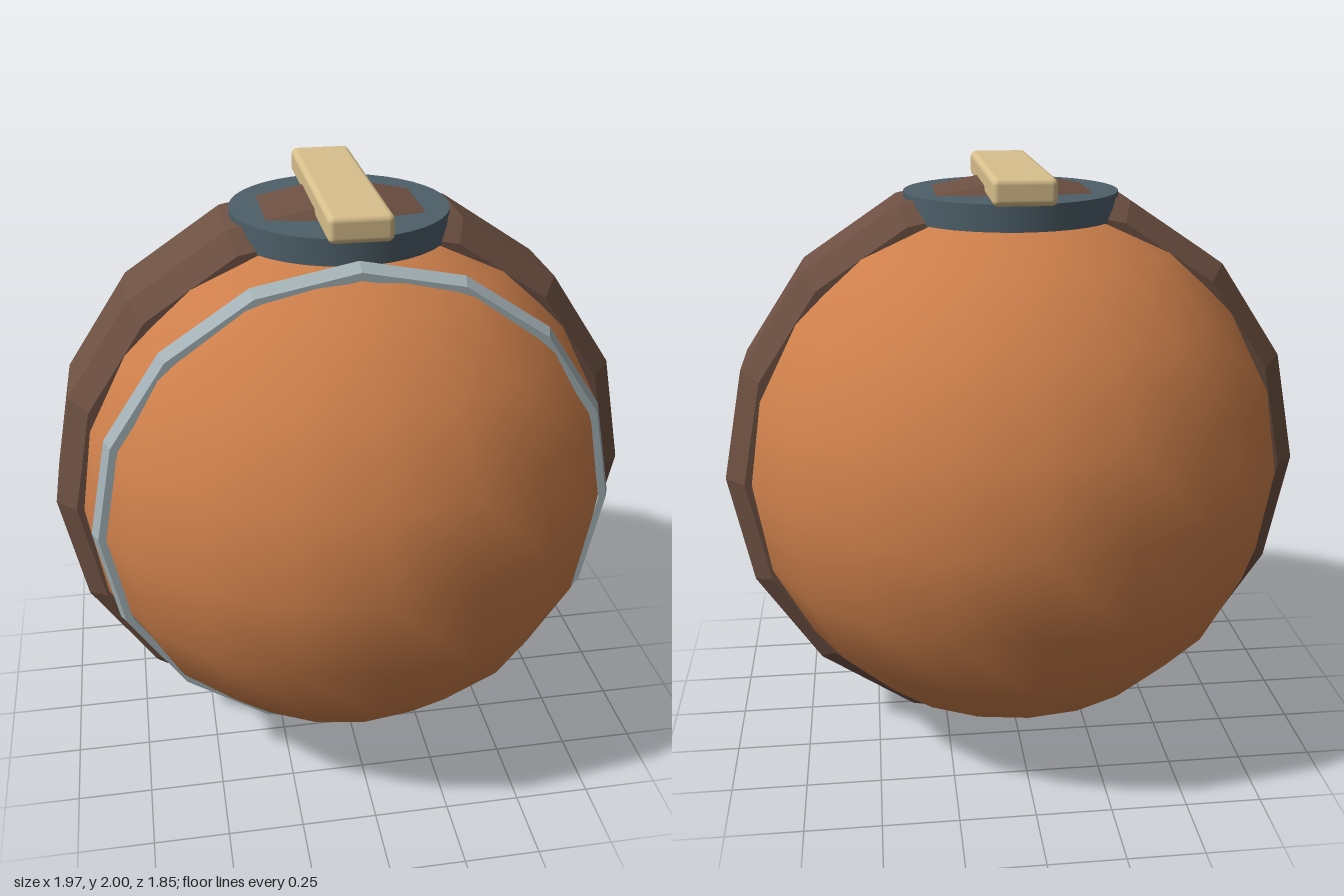
import * as THREE from 'three';
import { RoundedBoxGeometry } from 'three/addons/geometries/RoundedBoxGeometry.js';

const CENTER_Y = 0.983;

function addPart(group, name, geometry, color, y, flatShading = false) {
  const mesh = new THREE.Mesh(geometry, new THREE.MeshStandardMaterial({ color, flatShading }));
  mesh.name = name;
  mesh.position.y = y;
  group.add(mesh);
}

// 16-sided hoop around the z axis from a closed [radius, z] section
function hoop(section) {
  const points = [...section, section[0]].map(([r, z]) => new THREE.Vector2(r, z));
  return new THREE.LatheGeometry(points, 16).rotateX(Math.PI / 2);
}

export function createModel() {
  const model = new THREE.Group();
  model.name = 'bandedBall';

  // Round body
  addPart(model, 'body', new THREE.SphereGeometry(0.923, 20, 10), 0xcd7f4b, CENTER_Y);

  // Wide bevelled band around the middle
  addPart(model, 'band', hoop([
    [0.87, -0.203], [0.915, -0.203], [0.983, -0.135], [0.983, 0.135],
    [0.915, 0.203], [0.87, 0.203], [0.81, 0.135], [0.81, -0.135],
  ]), 0x6d5042, CENTER_Y, true);

  // Thin metal hoop towards the front
  addPart(model, 'frontHoop', hoop([
    [0.83, 0.36], [0.866, 0.36], [0.845, 0.408], [0.82, 0.408],
  ]), 0xa3b1b6, CENTER_Y, true);

  // Round cap and the bar lying across it
  addPart(model, 'cap', new THREE.CylinderGeometry(0.355, 0.355, 0.085, 40), 0x4d5f69, 1.873);
  addPart(model, 'topBar', new RoundedBoxGeometry(0.2, 0.085, 0.815, 3, 0.02), 0xd8bf8c, 1.9575);

  return model;
}
